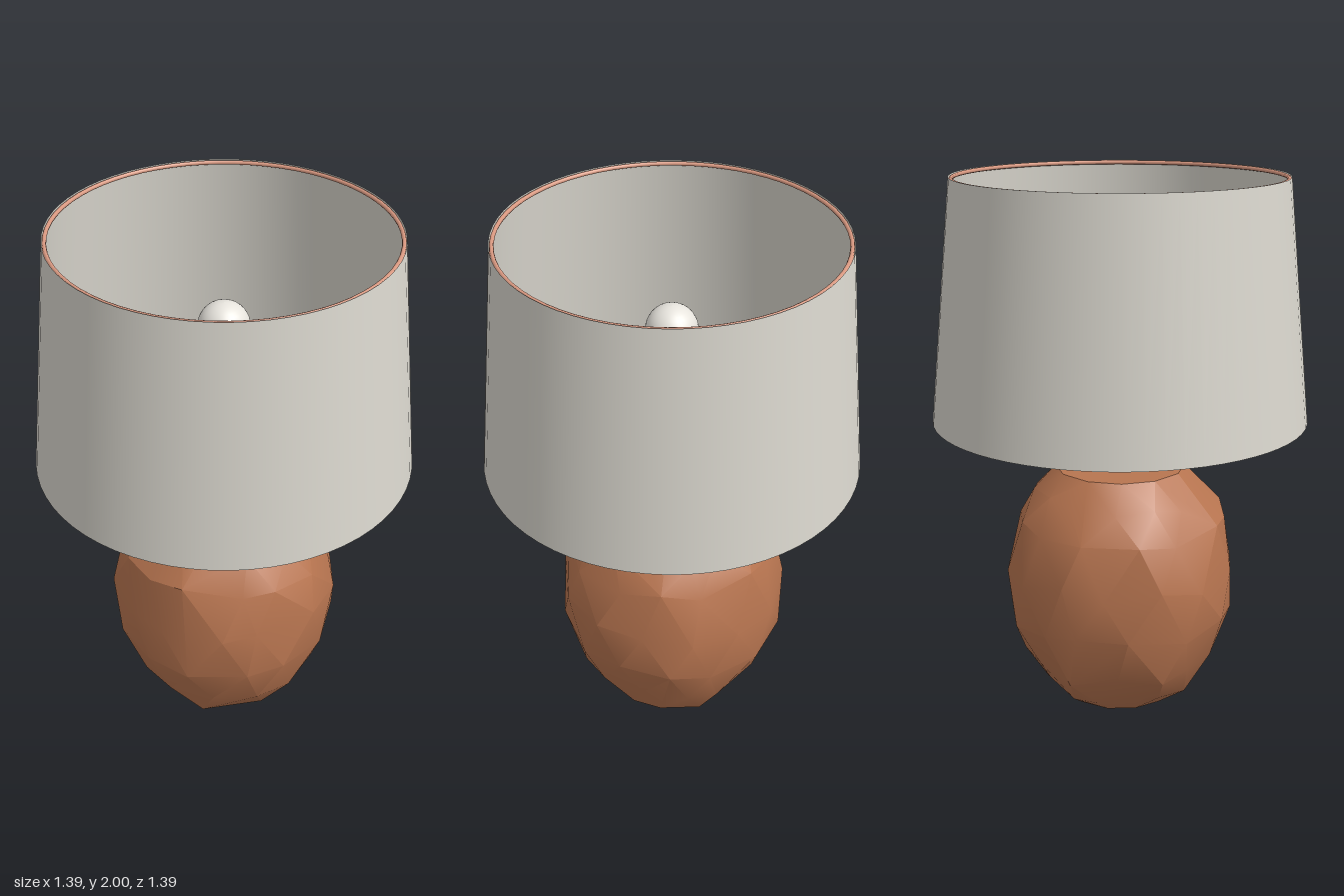
import * as THREE from 'three';
import { toCreasedNormals } from 'three/addons/utils/BufferGeometryUtils.js';
import { ConvexGeometry } from 'three/addons/geometries/ConvexGeometry.js';

const material = (name, color, side = THREE.FrontSide) => {
  const m = new THREE.MeshStandardMaterial({ color, side });
  m.name = name;
  return m;
};

// Small seeded generator, returns -1..1
const seeded = (seed) => () => {
  seed = (seed * 16807) % 2147483647;
  return (seed / 2147483647) * 2 - 1;
};

const lathe = (points) =>
  new THREE.LatheGeometry(points.map(([r, y]) => new THREE.Vector2(r, y)), 32);

export function createModel() {
  const model = new THREE.Group();
  model.name = 'tableLamp';

  const clay = material('terracotta', 0xb87550);
  const copper = material('copper', 0xdb9a82);
  const fabric = material('shadeFabric', 0xdad7ce, THREE.DoubleSide);
  const black = material('socketBlack', 0x38383a);
  const glass = material('bulbGlass', 0xeeebe4);

  const add = (name, geometry, mat, y = 0) => {
    const mesh = new THREE.Mesh(geometry, mat);
    mesh.name = name;
    mesh.position.y = y;
    model.add(mesh);
    return mesh;
  };

  // Hand-cut stone-like base: hull around slightly irregular rings, flat top and bottom
  const rand = seeded(4321);
  const profile = [
    [0.205, 0], [0.285, 0.06], [0.37, 0.18], [0.43, 0.355],
    [0.434, 0.54], [0.397, 0.725], [0.325, 0.83], [0.245, 0.92],
  ];
  const points = [];
  profile.forEach(([r, y], ring) => {
    const flat = ring === 0 || ring === profile.length - 1;
    const count = flat ? 12 : 14;
    for (let i = 0; i < count; i++) {
      const wobble = flat ? 0 : 1;
      const a = ((i + (ring % 2) * 0.5 + rand() * 0.2 * wobble) / count) * Math.PI * 2;
      const radius = r + rand() * 0.007 * wobble;
      points.push(new THREE.Vector3(
        Math.cos(a) * radius, y + rand() * 0.025 * wobble, Math.sin(a) * radius));
    }
  });
  add('base', toCreasedNormals(new ConvexGeometry(points), 0.4), clay);

  // Stem with its collar
  add('stem', new THREE.CylinderGeometry(0.034, 0.034, 0.45, 24), copper, 1.14);
  add('collar', toCreasedNormals(lathe([
    [0, 0.915], [0.05, 0.915], [0.05, 0.932], [0.044, 0.94], [0, 0.94],
  ]), 0.6), copper);

  // Bulb socket with a waist
  add('socket', toCreasedNormals(lathe([
    [0, 1.35], [0.04, 1.35], [0.054, 1.365], [0.054, 1.405], [0.046, 1.415],
    [0.054, 1.425], [0.054, 1.45], [0.046, 1.462], [0, 1.462],
  ]), 0.6), black);

  // Bulb: neck flowing into a globe
  const bulb = [[0, 1.455], [0.045, 1.455], [0.05, 1.5], [0.064, 1.565]];
  for (let i = 0; i <= 14; i++) {
    const a = -0.65 + (i / 14) * (Math.PI / 2 + 0.65);
    bulb.push([Math.max(0, Math.cos(a) * 0.094), 1.64 + Math.sin(a) * 0.094]);
  }
  add('bulb', lathe(bulb), glass);

  // Tapered open shade with a wire ring at each rim
  add('shade', new THREE.CylinderGeometry(0.61, 0.696, 0.89, 64, 1, true), fabric, 1.555);
  const rim = (name, radius, y) => {
    const ring = add(name, new THREE.TorusGeometry(radius, 0.008, 8, 64), copper, y);
    ring.rotation.x = Math.PI / 2;
  };
  rim('topRing', 0.6, 1.991);
  rim('bottomRing', 0.686, 1.119);

  // Four sloping spokes holding the shade
  for (let i = 0; i < 4; i++) {
    const path = new THREE.LineCurve3(
      new THREE.Vector3(0.02, 1.31, 0), new THREE.Vector3(0.686, 1.119, 0));
    const spoke = add('spoke', new THREE.TubeGeometry(path, 1, 0.006, 8), copper);
    spoke.rotation.y = (i * Math.PI) / 2;
  }

  return model;
}
